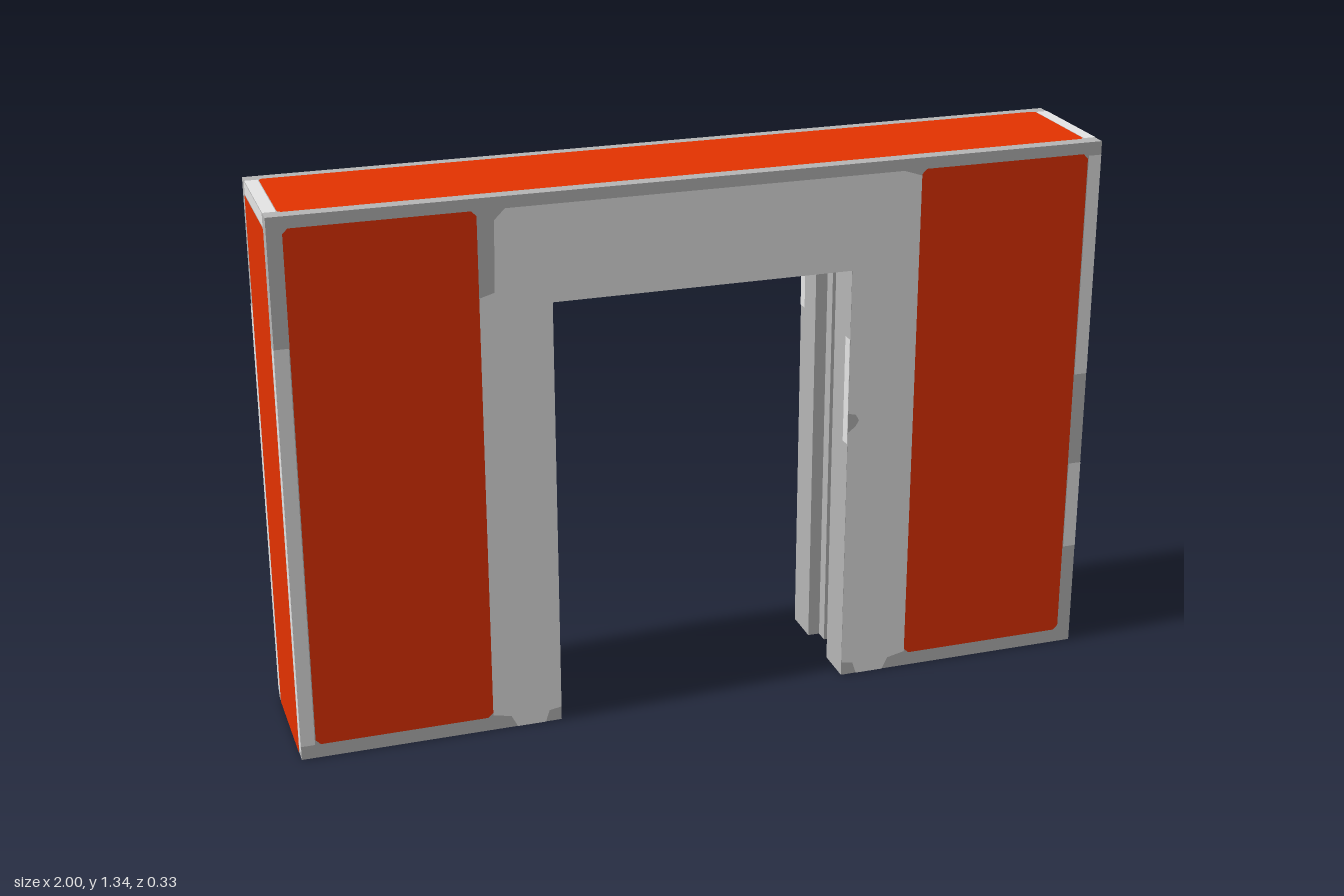
import * as THREE from 'three';

const W = 1, H = 1.333, D = 0.165;      // half width, height, half depth
const DOOR_X = 0.365, DOOR_Y = 1.073;   // half width and height of the opening
const LIFT = 0.001;                     // painted faces sit just above the body

const mat = (name, color) => {
  const m = new THREE.MeshStandardMaterial({ color });
  m.name = name;
  return m;
};

const toShape = (pts) => new THREE.Shape(pts.map(([x, y]) => new THREE.Vector2(x, y)));

// Rectangle outline with optionally clipped corners
const rect = (x0, y0, x1, y1, c = 0) => c
  ? [[x0 + c, y0], [x1 - c, y0], [x1, y0 + c], [x1, y1 - c], [x1 - c, y1], [x0 + c, y1], [x0, y1 - c], [x0, y0 + c]]
  : [[x0, y0], [x1, y0], [x1, y1], [x0, y1]];

export function createModel() {
  const model = new THREE.Group();
  model.name = 'doorFrame';
  const darkGrey = mat('darkGrey', 0xb5b5b5);
  const lightGrey = mat('lightGrey', 0xe5e5e5);
  const red = mat('redPanel', 0xe43200);

  // Portal-shaped slice; inset widens the opening to form grooves
  const slice = (name, z0, z1, inset) => {
    const x = DOOR_X + inset, y = DOOR_Y + inset;
    const shape = toShape([[-W, 0], [-x, 0], [-x, y], [x, y], [x, 0], [W, 0], [W, H], [-W, H]]);
    const geo = new THREE.ExtrudeGeometry(shape, { depth: z1 - z0, bevelEnabled: false });
    geo.translate(0, 0, z0);
    const mesh = new THREE.Mesh(geo, darkGrey);
    mesh.name = name;
    model.add(mesh);
  };
  slice('frontLip', 0.065, D, 0);
  slice('frontStep', 0.03, 0.065, 0.03);
  slice('slotCore', -0.03, 0.03, 0.14);
  slice('backStep', -0.065, -0.03, 0.03);
  slice('backLip', -D, -0.065, 0);

  // Flat painted face, turned to its side and pushed out by a distance
  const face = (name, pts, material, dist, rx = 0, ry = 0) => {
    const geo = new THREE.ShapeGeometry(toShape(pts));
    geo.translate(0, 0, dist + LIFT);
    const mesh = new THREE.Mesh(geo, material);
    mesh.name = name;
    mesh.rotation.set(rx, ry, 0);
    model.add(mesh);
  };

  // Pale surround of the opening, with worn edges and a chip on the front
  const surround = [
    [0.365, 0.035], [0.395, 0.03], [0.405, 0], [0.475, 0], [0.49, 0.03], [0.535, 0.04],
    [0.535, 1.29], [0.49, 1.305], [-0.47, 1.305], [-0.495, 1.28], [-0.5, 1.11], [-0.535, 1.1],
    [-0.535, 0.04], [-0.49, 0.03], [-0.475, 0], [-0.405, 0], [-0.395, 0.03], [-0.365, 0.035],
    [-0.365, DOOR_Y], [0.365, DOOR_Y],
  ];
  const chip = [[0.365, 0.71], [0.385, 0.705], [0.393, 0.69], [0.385, 0.675], [0.365, 0.66]];

  // Front and back faces
  for (const s of [1, -1]) {
    const ry = s > 0 ? 0 : Math.PI;
    const side = s > 0 ? 'front' : 'back';
    const put = (name, pts, m) => face(side + name, pts.map(([x, y]) => [x * s, y]), m, D, 0, ry);
    put('Surround', s > 0 ? [...surround, ...chip] : surround, lightGrey);
    put('LeftPanel', rect(0.535, 0.035, 0.965, 1.305, 0.012), red);
    put('RightPanel', rect(-0.965, 0.035, -0.535, 1.305, 0.012), red);
    put('LeftUpperTrim', rect(0.967, 0.74, 1, 1.3), lightGrey);
    put('LeftLowerTrim', rect(0.967, 0.27, 1, 0.5), lightGrey);
    put('RightTrim', rect(-1, 0.035, -0.967, 1.03), lightGrey);
  }

  // Outer ends, jamb marks and undersides
  for (const s of [1, -1]) {
    const ry = s * Math.PI / 2;
    const side = s > 0 ? 'left' : 'right';
    face(side + 'EndPanel', rect(-0.135, 0, 0.135, 1.3, 0.005), red, W, 0, ry);
    face(side + 'EndTopTrim', rect(-0.13, 1.303, 0.13, H), lightGrey, W, 0, ry);
    const spans = s > 0 ? [[0.74, 1.295], [0.27, 0.5]] : [[0.02, 1.03]];
    for (const e of [1, -1]) {
      for (const [y0, y1] of spans) {
        face(side + 'EndTrim', rect(e * 0.137, y0, e * D, y1), lightGrey, W, 0, ry);
      }
      // Local x on the left jamb runs along +z
      const [m0, m1] = s < 0 ? [0.47, 0.72] : e > 0 ? [0.63, 0.9] : [0.88, 1.02];
      face(side + 'JambMark', rect(e * 0.137, m0, e * D, m1), lightGrey, -DOOR_X, 0, -ry);
    }
    // Foot panel, cut out around the slot
    const foot = [
      [0.425, -0.135], [0.965, -0.135], [0.965, 0.135], [0.425, 0.135],
      [0.425, 0.085], [0.45, 0.05], [0.525, 0.05], [0.525, -0.05], [0.45, -0.05], [0.425, -0.085],
    ];
    face(side + 'FootPanel', foot.map(([x, z]) => [x * s, z]), red, 0, Math.PI / 2);
  }

  // Top face
  face('topPanel', rect(-0.968, -0.135, 0.968, 0.135, 0.008), red, H, -Math.PI / 2);
  for (const s of [1, -1]) {
    face('topEndTrim', rect(s * 0.97, -0.13, s * 1, 0.13), lightGrey, H, -Math.PI / 2);
  }

  return model;
}
